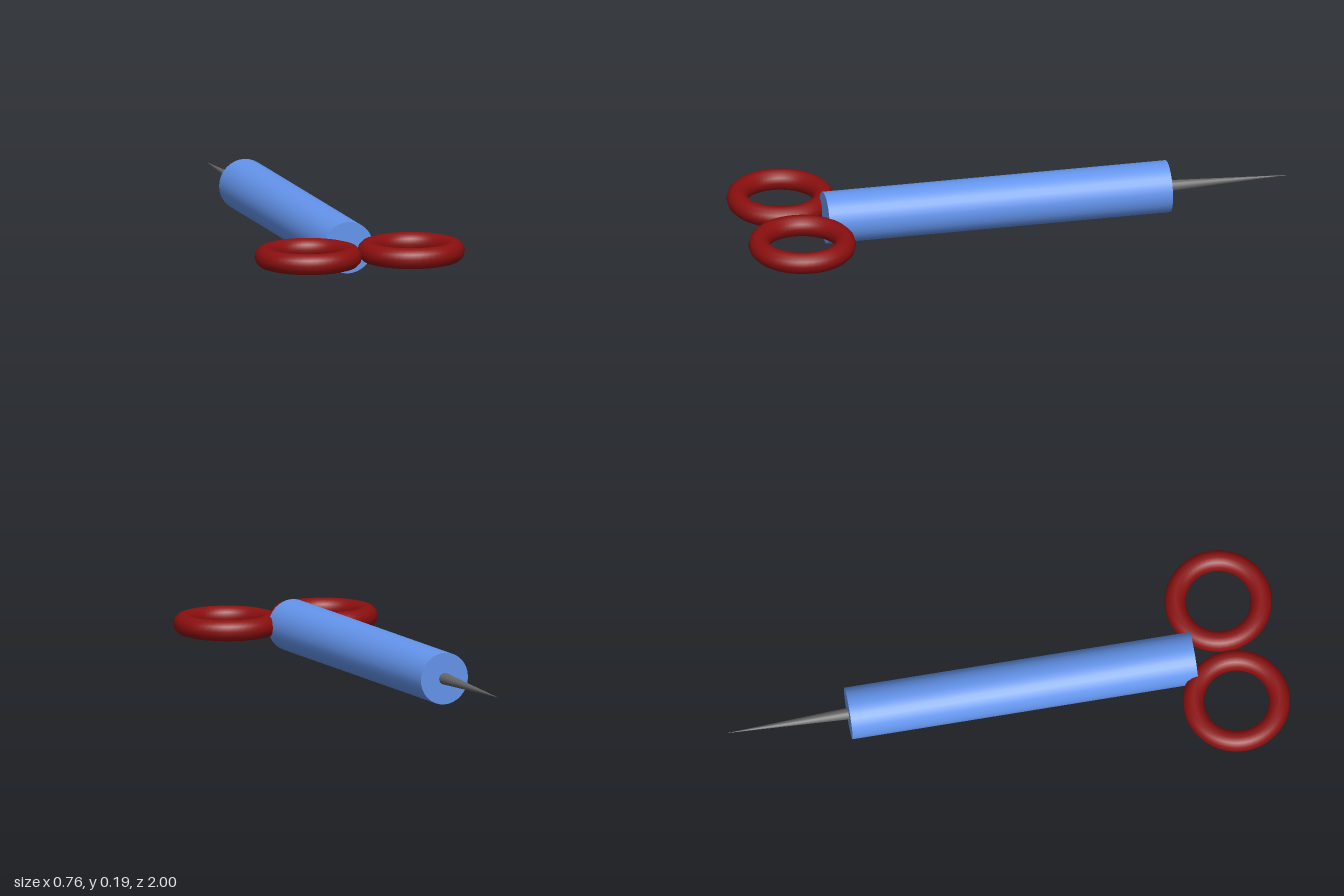
import * as THREE from 'three';

const AXIS_X = -0.005, AXIS_Y = 0.093;

function part(name, geometry, color, x, y, z) {
  const mesh = new THREE.Mesh(geometry, new THREE.MeshStandardMaterial({ color }));
  mesh.name = name;
  mesh.position.set(x, y, z);
  mesh.rotation.x = -Math.PI / 2; // local +y points to the back (-z)
  return mesh;
}

export function createModel() {
  const group = new THREE.Group();
  group.name = 'ringHandledAwl';

  // Round barrel lying along z
  const barrel = new THREE.CylinderGeometry(0.093, 0.093, 1.245, 32);
  group.add(part('barrel', barrel, 0x6495ed, AXIS_X, AXIS_Y, 0.064));

  // Tapered needle at the back
  const needle = new THREE.ConeGeometry(0.021, 0.442, 16);
  group.add(part('needle', needle, 0x666666, AXIS_X, AXIS_Y, -0.779));

  // Pair of flat-lying finger rings, touching at the centre
  for (const [name, side] of [['leftRing', 1], ['rightRing', -1]]) {
    const ring = new THREE.TorusGeometry(0.153, 0.038, 12, 48);
    group.add(part(name, ring, 0x8b0f0f, side * 0.191, AXIS_Y + 0.001, 0.808));
  }
  return group;
}
